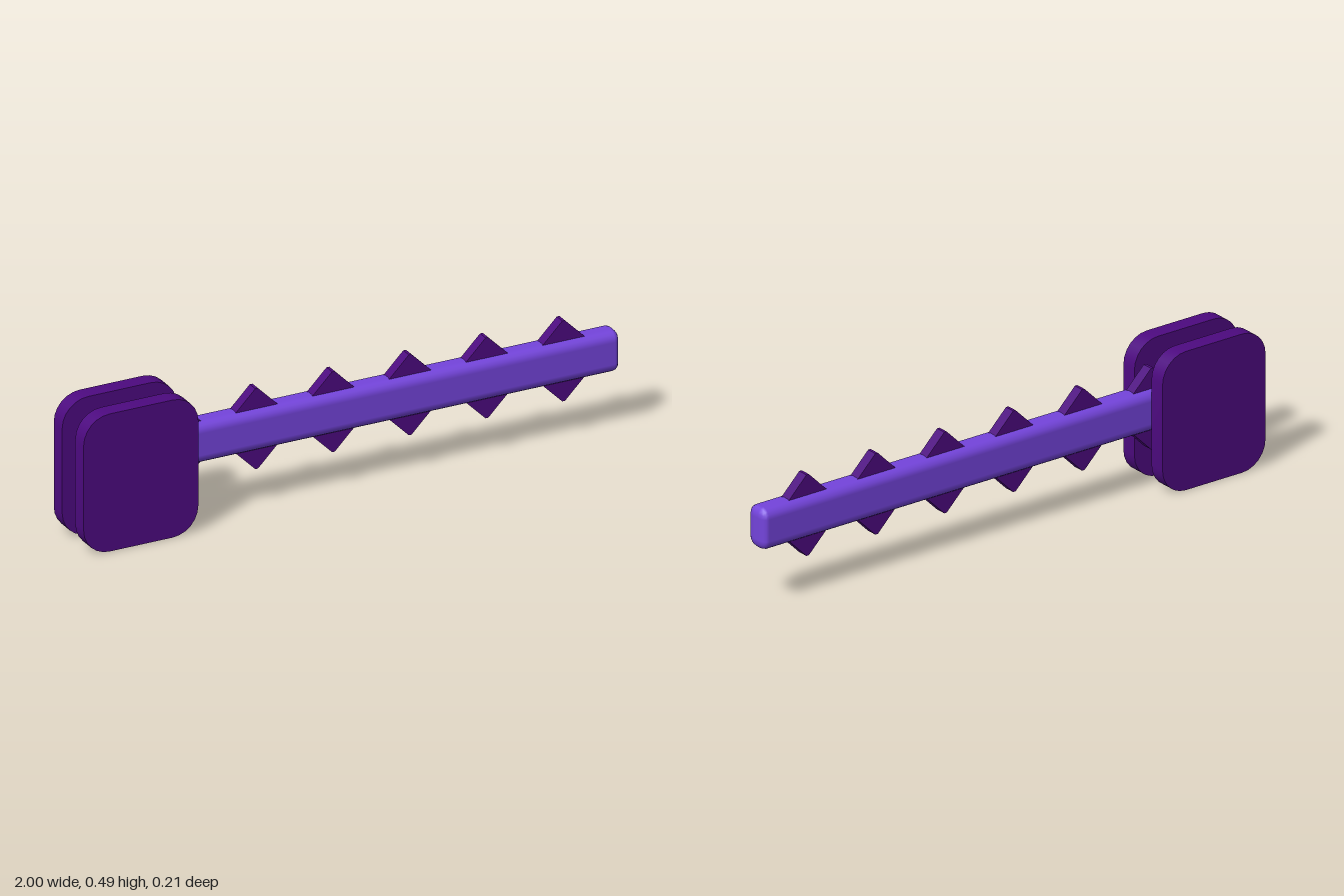
import * as THREE from 'three';
import { toCreasedNormals } from 'three/addons/utils/BufferGeometryUtils.js';
import { RoundedBoxGeometry } from 'three/addons/geometries/RoundedBoxGeometry.js';

const darkPurple = new THREE.MeshStandardMaterial({ name: 'dark purple', color: 0x4d0a80 });
const violet = new THREE.MeshStandardMaterial({ name: 'violet', color: 0x7444dc });

// Extrude a shape by depth, centred on z = 0
function slab(shape, depth, curveSegments) {
  const geo = new THREE.ExtrudeGeometry(shape, { depth, curveSegments, bevelEnabled: false });
  geo.translate(0, 0, -depth / 2);
  return toCreasedNormals(geo, 0.7);
}

function roundedRect(w, h, r) {
  const x = w / 2, y = h / 2, s = new THREE.Shape();
  s.absarc(x - r, y - r, r, 0, Math.PI / 2);
  s.absarc(-x + r, y - r, r, Math.PI / 2, Math.PI);
  s.absarc(-x + r, -y + r, r, Math.PI, Math.PI * 1.5);
  s.absarc(x - r, -y + r, r, Math.PI * 1.5, Math.PI * 2);
  s.closePath();
  return s;
}

// Diamond with slightly blunted top and bottom tips
function diamond(r, cut) {
  const t = r - cut;
  return new THREE.Shape([
    [r, 0], [t, cut], [-t, cut], [-r, 0], [-t, -cut], [t, -cut],
  ].map(([x, y]) => new THREE.Vector2(x, y)));
}

export function createModel() {
  const group = new THREE.Group();
  const add = (name, geo, mat, x, y, z) => {
    const mesh = new THREE.Mesh(geo, mat);
    mesh.name = name;
    mesh.position.set(x, y, z);
    group.add(mesh);
  };

  // Long bar with softened edges, tighter at the ends
  const endScale = 0.65;
  const bar = new RoundedBoxGeometry(1.79 / endScale, 0.148, 0.092, 2, 0.035);
  bar.scale(endScale, 1, 1);
  add('bar', bar, violet, 0.105, 0.279, 0);

  // Teeth running through the bar, showing above and below
  const tooth = slab(diamond(0.149, 0.144), 0.039, 1);
  for (let i = 0; i < 6; i++) add('tooth' + (i + 1), tooth, darkPurple, -0.603 + i * 0.281, 0.279, 0);

  // Pair of rounded grip plates either side of the bar
  const plate = slab(roundedRect(0.42, 0.493, 0.095), 0.059, 3);
  add('frontPlate', plate, darkPurple, -0.79, 0.2465, 0.0755);
  add('backPlate', plate, darkPurple, -0.79, 0.2465, -0.0755);

  return group;
}
